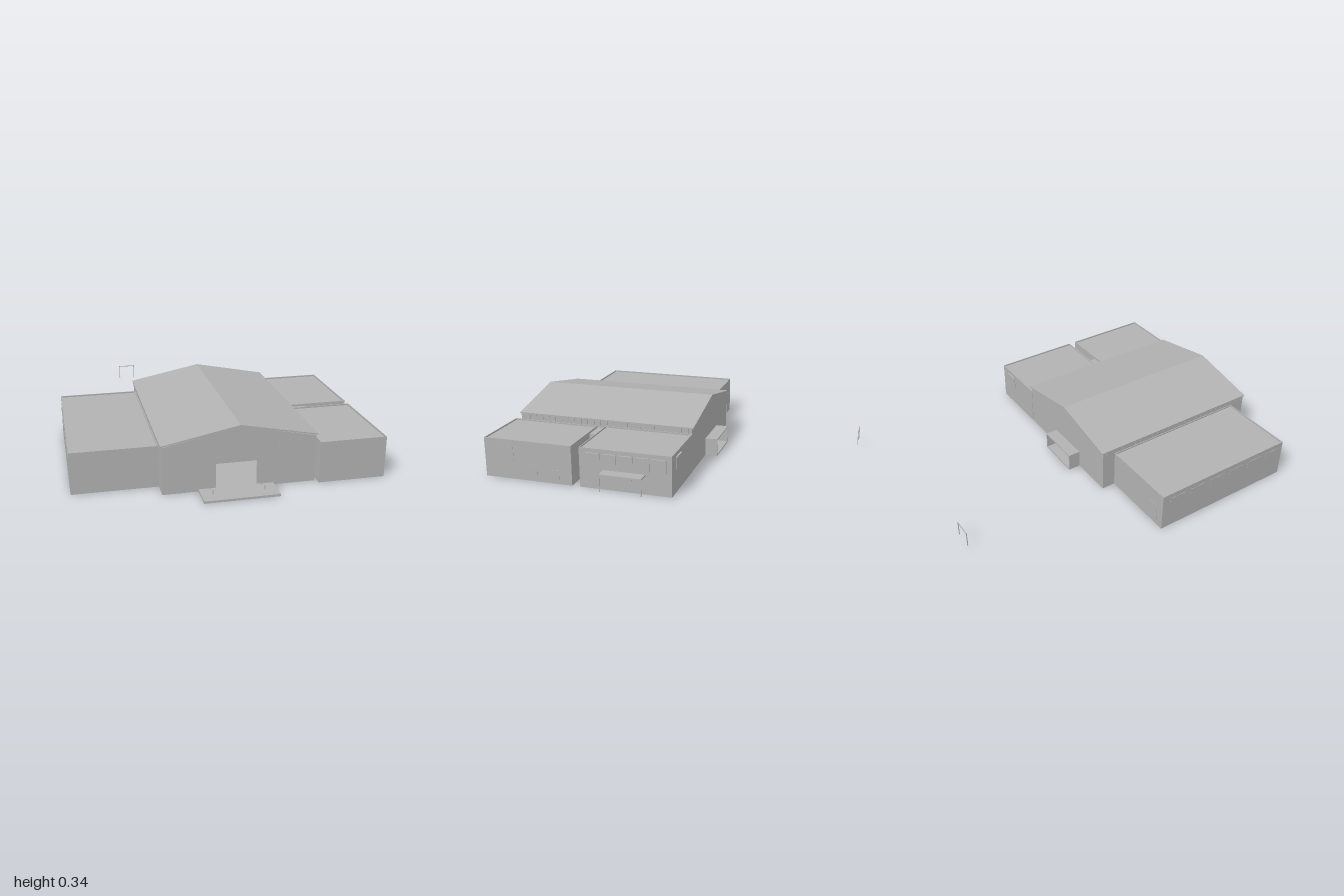
import * as THREE from 'three';

const grey = new THREE.MeshStandardMaterial({ color: 0xb2b2b2, side: THREE.DoubleSide });
grey.name = 'light grey';

export function createModel() {
  const model = new THREE.Group();
  model.name = 'sportsHall';

  // Box from its min and max corners
  const box = (name, x0, x1, y0, y1, z0, z1, parent = model) => {
    const m = new THREE.Mesh(new THREE.BoxGeometry(x1 - x0, y1 - y0, z1 - z0), grey);
    m.position.set((x0 + x1) / 2, (y0 + y1) / 2, (z0 + z1) / 2);
    m.name = name;
    parent.add(m);
    return m;
  };
  // Outline in x and y, extruded along z
  const slab = (name, pts, z0, z1) => {
    const shape = new THREE.Shape(pts.map(([x, y]) => new THREE.Vector2(x, y)));
    const geo = new THREE.ExtrudeGeometry(shape, { depth: z1 - z0, bevelEnabled: false });
    const m = new THREE.Mesh(geo, grey);
    m.position.z = z0;
    m.name = name;
    model.add(m);
  };
  // Flat-roofed block with a low parapet
  const wing = (name, x0, x1, z0, z1) => {
    const g = new THREE.Group();
    g.name = name;
    model.add(g);
    const t = 0.005, h = 0.22, roof = 0.212;
    box('body', x0, x1, 0, roof, z0, z1, g);
    box('parapetBack', x0, x1, roof, h, z0, z0 + t, g);
    box('parapetFront', x0, x1, roof, h, z1 - t, z1, g);
    box('parapetLeft', x1 - t, x1, roof, h, z0 + t, z1 - t, g);
    box('parapetRight', x0, x0 + t, roof, h, z0 + t, z1 - t, g);
  };

  // Wings around the hall
  wing('rightWing', -0.825, -0.388, -0.08, 0.77);
  wing('leftFrontWing', 0.408, 0.76, 0.39, 0.895);
  wing('leftBackWing', 0.395, 0.76, -0.16, 0.345);
  box('wingLink', 0.39, 0.515, 0, 0.208, 0.345, 0.39);

  // Hollow gabled hall with a passage from front to back
  const gable = (doorTop) => [
    [-0.388, 0], [-0.12, 0], [-0.12, doorTop], [0.09, doorTop], [0.09, 0],
    [0.394, 0], [0.394, 0.247], [0.002, 0.328], [-0.388, 0.247],
  ];
  slab('hallFrontWall', gable(0.14), 0.858, 0.866);
  slab('hallBackWall', gable(0.1), -0.158, -0.15);
  box('hallRightWall', -0.388, -0.38, 0, 0.247, -0.15, 0.858);
  box('hallLeftWall', 0.386, 0.394, 0, 0.247, -0.15, 0.858);
  box('hallFloor', -0.38, 0.386, 0, 0.006, -0.158, 0.866);
  slab('hallRoof', [[-0.395, 0.25], [0.002, 0.328], [0.402, 0.25],
    [0.402, 0.257], [0.002, 0.336], [-0.395, 0.257]], -0.168, 0.87);

  // Rafters under the ridge
  for (let i = 0; i < 14; i++) {
    const z = -0.1 + i * 0.0715;
    slab('rafter', [[-0.1, 0.3], [0.002, 0.318], [0.1, 0.3], [0.1, 0.308], [0.002, 0.327], [-0.1, 0.308]], z, z + 0.006);
  }

  // Mullions of the clerestory and of the front glazing
  for (let i = 0; i < 26; i++) {
    const z = -0.14 + i * 0.0395;
    box('clerestoryPost', 0.394, 0.397, 0.222, 0.249, z, z + 0.005);
    box('clerestoryPost', -0.391, -0.388, 0.222, 0.249, z, z + 0.005);
  }
  for (const x of [0.1, 0.15, 0.2, 0.25, 0.3]) {
    box('frontMullion', x, x + 0.004, 0.012, 0.235, 0.866, 0.869);
  }

  // Front terrace with short posts
  box('terrace', -0.208, 0.174, 0, 0.012, 0.86, 1);
  for (const x of [-0.15, 0.112]) {
    for (const z of [0.885, 0.935]) {
      box('terracePost', x - 0.002, x + 0.002, 0.012, 0.036, z - 0.002, z + 0.002);
    }
  }

  // Open porch box behind the hall
  box('porchRoof', -0.145, 0.11, 0.096, 0.102, -0.228, -0.155);
  box('porchFloor', -0.145, 0.11, 0, 0.008, -0.228, -0.155);
  box('porchSide', -0.145, -0.139, 0.008, 0.096, -0.228, -0.155);
  box('porchSide', 0.104, 0.11, 0.008, 0.096, -0.228, -0.155);

  // Side entrance: canopy on posts and a door
  box('canopy', 0.76, 0.824, 0.1, 0.108, -0.018, 0.213);
  for (const z of [-0.016, 0.207]) box('canopyPost', 0.818, 0.822, 0.012, 0.1, z, z + 0.004);
  box('sideDoor', 0.76, 0.763, 0.01, 0.098, 0.055, 0.15);

  // Windows with small sun shades on the back wing
  for (const z of [-0.13, -0.04, 0.05, 0.14, 0.23]) {
    box('sideWindow', 0.76, 0.763, 0.125, 0.19, z, z + 0.075);
    box('windowShade', 0.76, 0.769, 0.192, 0.197, z, z + 0.075);
  }
  box('backWindow', 0.615, 0.688, 0.125, 0.19, -0.163, -0.16);
  box('windowShade', 0.612, 0.69, 0.192, 0.197, -0.169, -0.16);

  // Windows of the front wing: z, bottom, top
  for (const [z, y0, y1] of [[0.755, 0.105, 0.18], [0.62, 0.03, 0.085], [0.49, 0.02, 0.075]]) {
    box('frontWingWindow', 0.76, 0.762, y0, y1, z - 0.03, z + 0.03);
  }

  // Strip windows and back door of the right wing
  for (let i = 0; i < 6; i++) {
    const z = -0.03 + i * 0.135;
    box('stripWindow', -0.827, -0.825, 0.15, 0.19, z, z + 0.1);
  }
  box('backDoor', -0.78, -0.72, 0.005, 0.13, -0.082, -0.08);

  // Free-standing goal frame far behind the hall
  for (const x of [-0.388, -0.288]) box('goalPost', x, x + 0.004, 0.014, 0.1, -1, -0.996);
  box('goalBar', -0.388, -0.284, 0.096, 0.1, -1, -0.996);

  return model;
}
